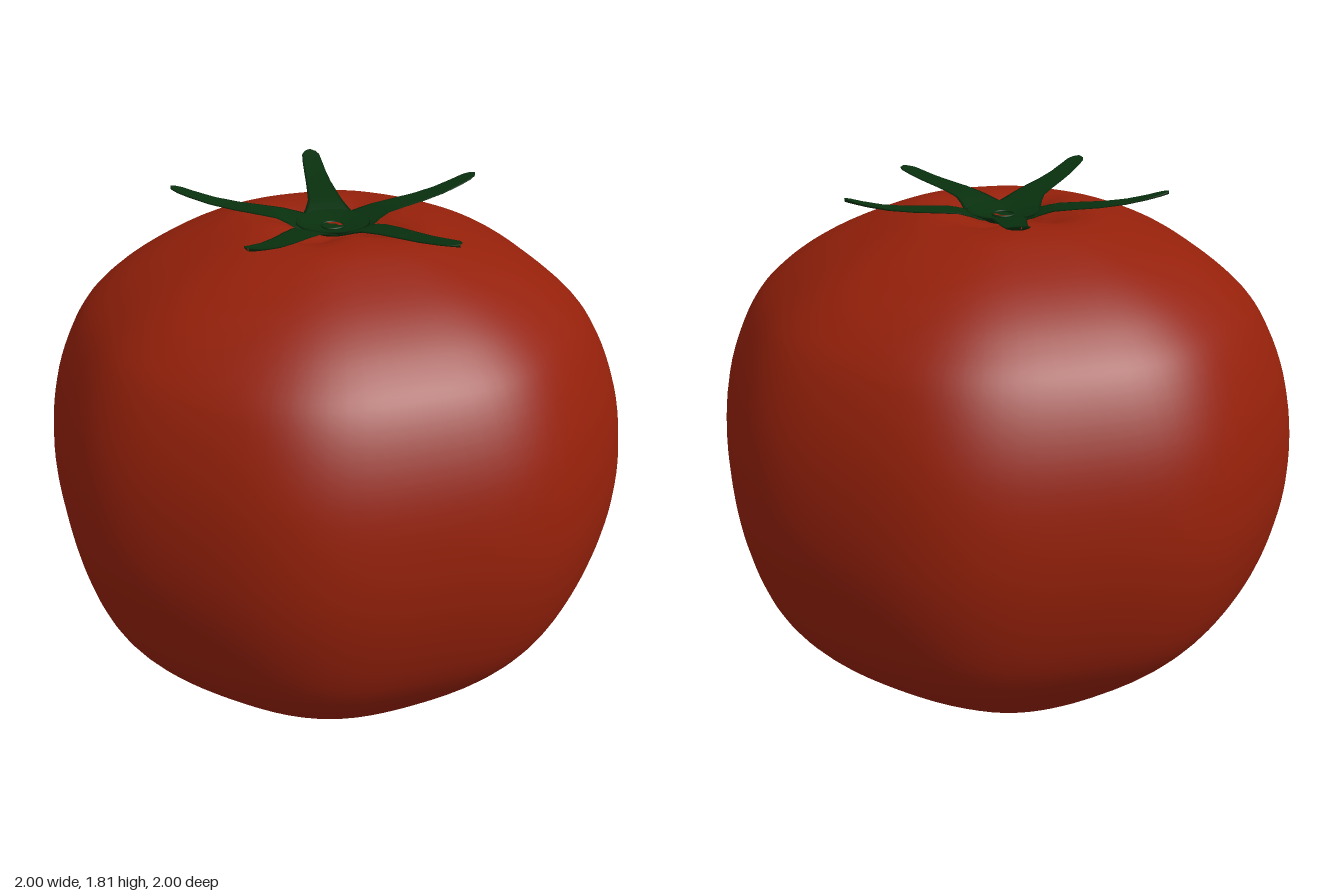
import * as THREE from 'three';
import { mergeVertices } from 'three/addons/utils/BufferGeometryUtils.js';

const fruitRed = new THREE.MeshStandardMaterial({ color: 0x94200a });
const calyxGreen = new THREE.MeshStandardMaterial({ color: 0x08300e });

const bump = (x, centre, width) => Math.exp(-(((x - centre) / width) ** 2));

// Lathed fruit, pushed into four soft lobes, with dimples at both poles
function createFruit() {
  const profile = [
    [0, 0.09], [0.1, 0.06], [0.2, 0.02], [0.28, 0.01], [0.42, 0.038], [0.58, 0.115],
    [0.74, 0.235], [0.89, 0.42], [0.968, 0.63], [1, 0.88], [0.962, 1.17], [0.86, 1.4],
    [0.755, 1.51], [0.61, 1.606], [0.42, 1.688], [0.3, 1.723], [0.22, 1.727],
    [0.15, 1.708], [0.08, 1.675], [0, 1.655],
  ].map(([r, y]) => new THREE.Vector3(r, y, 0));
  const points = new THREE.CatmullRomCurve3(profile).getPoints(110)
    .map((p) => new THREE.Vector2(Math.max(p.x, 0), p.y));
  points[0].x = points[points.length - 1].x = 0;

  const lathe = new THREE.LatheGeometry(points, 96);
  lathe.deleteAttribute('uv');
  lathe.deleteAttribute('normal');
  const pos = lathe.attributes.position;
  for (let i = 0; i < pos.count; i++) {
    const x = pos.getX(i), y = pos.getY(i), z = pos.getZ(i);
    const r = Math.hypot(x, z), a = Math.atan2(x, z);
    const swell = 0.99875 + 0.0125 * Math.cos(4 * a) - 0.01125 * Math.cos(8 * a);
    const onAxis = 0.5 + 0.5 * Math.cos(4 * a);
    let dy = 0;
    // feet on the diagonals below, creases on the axes around the stem
    if (y < 0.6) dy = -0.05 * (1 - onAxis) * bump(r, 0.5, 0.16);
    if (y > 1.5) dy = -0.028 * onAxis * bump(r, 0.18, 0.1);
    pos.setXYZ(i, x * swell, y + dy, z * swell);
  }
  const geometry = mergeVertices(lathe, 1e-5);
  geometry.computeVertexNormals();
  const mesh = new THREE.Mesh(geometry, fruitRed);
  mesh.name = 'fruit';
  return mesh;
}

// One thin leaf: elliptical sections of given radius, half width and height
function createLeaf(angle, curl) {
  const sections = [
    [0.06, 0.044, 1.69], [0.09, 0.066, 1.698], [0.113, 0.082, 1.706], [0.14, 0.07, 1.716],
    [0.18, 0.058, 1.728], [0.25, 0.051, 1.736], [0.33, 0.044, 1.739], [0.41, 0.039, 1.74],
    [0.48, 0.035, 1.742], [0.52, 0.031, 1.743], [0.54, 0.02, 1.743], [0.55, 0.002, 1.743],
  ];
  const sides = 10, positions = [], index = [];
  const sin = Math.sin(angle), cos = Math.cos(angle);
  sections.forEach(([r, half, y], i) => {
    const lift = curl * Math.max(0, (r - 0.22) / 0.33) ** 2;
    for (let j = 0; j < sides; j++) {
      const t = (j / sides) * Math.PI * 2;
      const w = half * Math.cos(t);
      // edges turn up slightly, giving a shallow channel
      const rise = 0.005 * Math.sin(t) + 0.005 * Math.cos(t) ** 2;
      positions.push(r * sin + w * cos, y + lift + rise, r * cos - w * sin);
      if (i < sections.length - 1) {
        const a = i * sides + j, b = i * sides + ((j + 1) % sides);
        index.push(a, b, b + sides, a, b + sides, a + sides);
      }
    }
  });
  const geometry = new THREE.BufferGeometry();
  geometry.setAttribute('position', new THREE.Float32BufferAttribute(positions, 3));
  geometry.setIndex(index);
  geometry.computeVertexNormals();
  const mesh = new THREE.Mesh(geometry, calyxGreen);
  mesh.name = 'leaf';
  return mesh;
}

// Five-leaf star with a small hollow stem scar in the middle
function createCalyx() {
  const calyx = new THREE.Group();
  calyx.name = 'calyx';
  [0.045, 0.022, 0.058, 0.058, 0.058].forEach((curl, i) => {
    calyx.add(createLeaf((i / 5) * Math.PI * 2, curl));
  });

  // shallow bowl joining the leaves
  const bowl = [[0.06, 1.68], [0.125, 1.712], [0.12, 1.717], [0.08, 1.705], [0.04, 1.697], [0, 1.695]]
    .map(([r, y]) => new THREE.Vector2(r, y));
  const hub = new THREE.Mesh(new THREE.LatheGeometry(bowl, 30), calyxGreen);
  hub.name = 'hub';
  const scar = new THREE.Mesh(new THREE.TorusGeometry(0.037, 0.004, 8, 24), calyxGreen);
  scar.name = 'stemScar';
  scar.rotation.x = Math.PI / 2;
  scar.position.y = 1.699;
  // sliver of fruit showing at the back of the scar
  const sliver = new THREE.Mesh(
    new THREE.RingGeometry(0.018, 0.036, 16, 1, Math.PI * 0.15, Math.PI * 0.7), fruitRed);
  sliver.name = 'scarFlesh';
  sliver.rotation.x = -Math.PI / 2;
  sliver.position.y = 1.7;
  calyx.add(hub, scar, sliver);
  return calyx;
}

export function createModel() {
  const model = new THREE.Group();
  model.name = 'tomato';
  model.add(createFruit(), createCalyx());
  return model;
}
